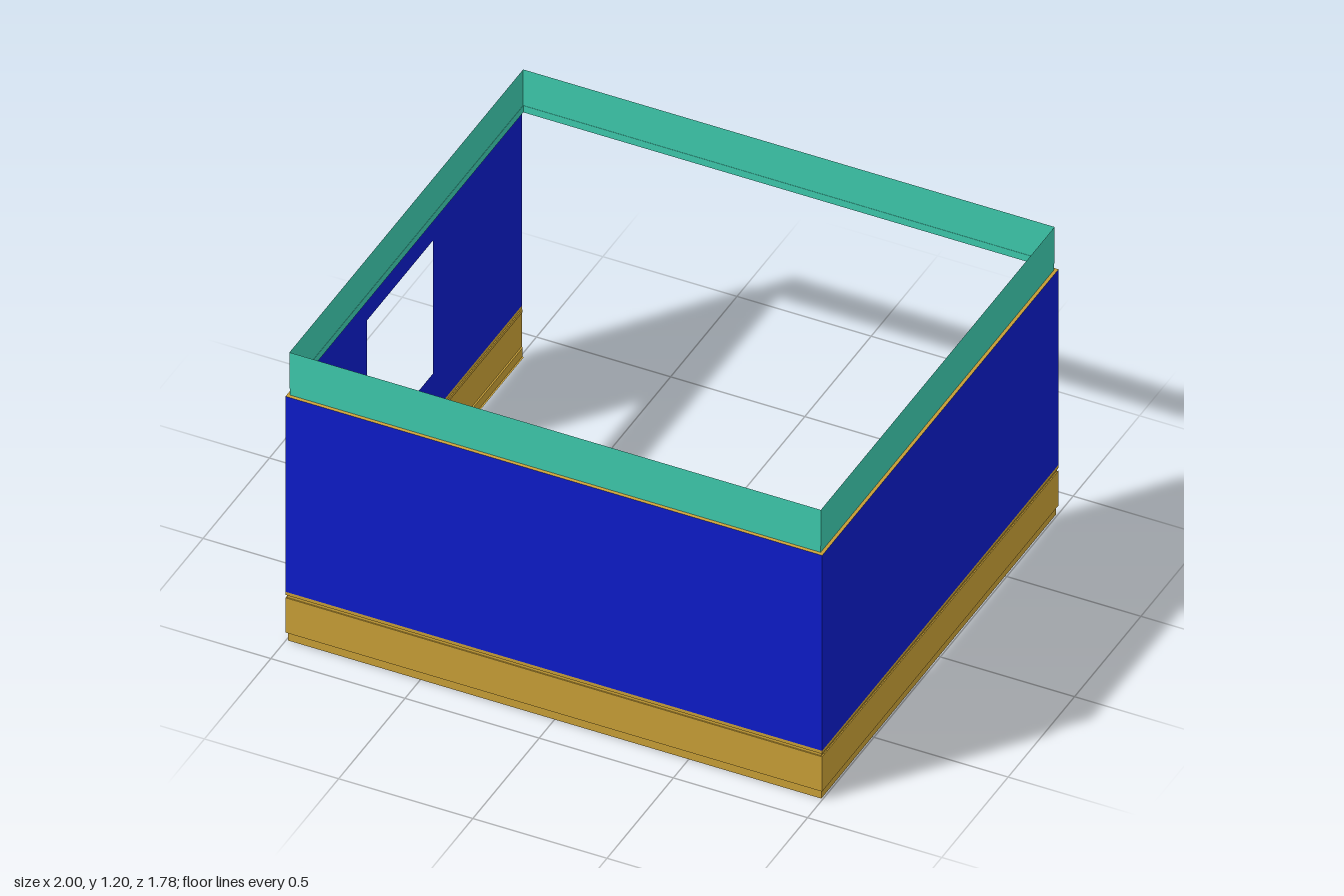
import * as THREE from 'three';

const HX = 1, HZ = 0.89; // half width and half depth of the outline

const sheet = (color) => new THREE.MeshStandardMaterial({ color, side: THREE.DoubleSide });
const gold = sheet(0xc9a036);
const blue = sheet(0x0d1ccb);
const teal = sheet(0x3ecbae);

// Corner signs: three sides (open at the back) or the full perimeter
const openPath = [[1, -1], [1, 1], [-1, 1], [-1, -1]];
const closedPath = [...openPath, [1, -1]];

// Folded sheet trim: sweeps a profile of [inset, y] points along the outline
function trim(name, profile, path, material) {
  const at = ([sx, sz], [inset, y]) => [sx * (HX - inset), y, sz * (HZ - inset)];
  const pos = [];
  for (let i = 0; i < path.length - 1; i++) {
    for (let j = 0; j < profile.length - 1; j++) {
      const a = at(path[i], profile[j]), b = at(path[i + 1], profile[j]);
      const c = at(path[i + 1], profile[j + 1]), d = at(path[i], profile[j + 1]);
      pos.push(...a, ...d, ...c, ...a, ...c, ...b);
    }
  }
  // path runs clockwise from above, so reverse each triangle to face outward
  for (let t = 0; t < pos.length; t += 9) {
    const p = pos.slice(t + 3, t + 6);
    for (let k = 0; k < 3; k++) {
      pos[t + 3 + k] = pos[t + 6 + k];
      pos[t + 6 + k] = p[k];
    }
  }
  const geo = new THREE.BufferGeometry();
  geo.setAttribute('position', new THREE.Float32BufferAttribute(pos, 3));
  geo.computeVertexNormals();
  const mesh = new THREE.Mesh(geo, material);
  mesh.name = name;
  return mesh;
}

function rect(PathType, u0, u1, y0, y1) {
  return new PathType([[u0, y0], [u1, y0], [u1, y1], [u0, y1]].map(([u, y]) => new THREE.Vector2(u, y)));
}

// Flat wall panel, optionally with a window opening
function wall(name, half, angle, x, z, opening) {
  const shape = rect(THREE.Shape, -half, half, 0.205, 1.02);
  if (opening) shape.holes.push(rect(THREE.Path, ...opening));
  const mesh = new THREE.Mesh(new THREE.ShapeGeometry(shape), blue);
  mesh.name = name;
  mesh.rotation.y = angle;
  mesh.position.set(x, 0, z);
  return mesh;
}

export function createModel() {
  const group = new THREE.Group();
  group.name = 'wallShell';

  // Walls: front, both sides, and nothing at the back
  group.add(
    wall('frontWall', HX, 0, 0, HZ),
    wall('leftWall', HZ, Math.PI / 2, HX, 0),
    wall('rightWall', HZ, -Math.PI / 2, -HX, 0, [-0.22, 0.275, 0.37, 0.925])
  );

  // Base skirting with stepped foot and a small channel on top
  group.add(trim('baseTrim', [
    [0.012, 0], [0.006, 0], [0.006, 0.035], [0, 0.035], [0, 0.18],
    [0.004, 0.18], [0.004, 0.192], [0, 0.192], [0, 0.205],
  ], openPath, gold));

  // Ledge over the walls
  group.add(trim('topLedge', [[0, 1.02], [0.011, 1.022]], closedPath, gold));

  // Fascia band with a fold near its lower edge
  group.add(trim('fascia', [
    [0.011, 1.022], [0.011, 1.05], [0.01, 1.05], [0.01, 1.2],
  ], closedPath, teal));

  return group;
}
